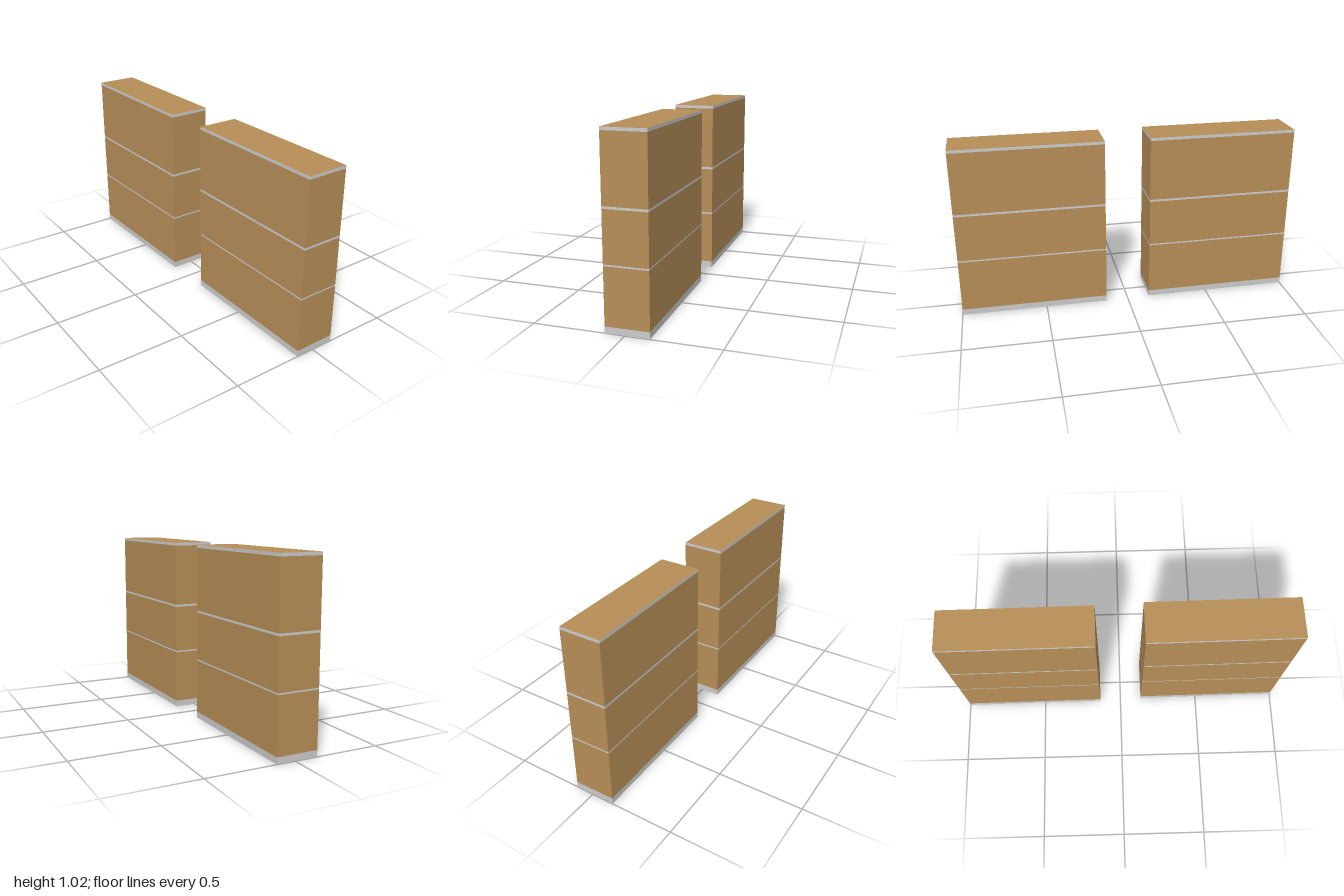
import * as THREE from 'three';
import { mergeGeometries } from 'three/addons/utils/BufferGeometryUtils.js';

const W = 0.238, L = 0.865, H = 1.02;
const wood = new THREE.MeshStandardMaterial({ color: 0xb68e57 });
const trim = new THREE.MeshStandardMaterial({ color: 0xcccccc });

// Four outward walls between two heights
function band(y0, y1) {
  const walls = [];
  for (let i = 0; i < 4; i++) {
    const [width, depth] = i % 2 ? [L, W] : [W, L];
    walls.push(new THREE.PlaneGeometry(width, y1 - y0)
      .translate(0, (y0 + y1) / 2, depth / 2)
      .rotateY(i * Math.PI / 2));
  }
  return mergeGeometries(walls);
}

function createBlock(name) {
  const block = new THREE.Group();
  block.name = name;
  const add = (geometry, material, part) => {
    const mesh = new THREE.Mesh(geometry, material);
    mesh.name = part;
    block.add(mesh);
  };

  // Alternating trim strips and wooden panels, from the floor up
  const levels = [0, 0.036, 0.346, 0.355, 0.63, 0.643, 1.003, H];
  for (let i = 0; i < levels.length - 1; i++) {
    const isTrim = i % 2 === 0;
    add(band(levels[i], levels[i + 1]), isTrim ? trim : wood, isTrim ? 'trimStrip' : 'woodPanel');
  }

  // Wooden top and underside
  add(new THREE.PlaneGeometry(W, L).rotateX(-Math.PI / 2).translate(0, H, 0), wood, 'topPanel');
  add(new THREE.PlaneGeometry(W, L).rotateX(Math.PI / 2), wood, 'bottomPanel');
  return block;
}

export function createModel() {
  const model = new THREE.Group();
  model.name = 'pairOfBlocks';
  // Two blocks in line, turned very slightly
  for (const [name, side] of [['frontBlock', 1], ['backBlock', -1]]) {
    const block = createBlock(name);
    block.position.set(side * 0.0095, 0, side * 0.5665);
    block.rotation.y = 0.008;
    model.add(block);
  }
  return model;
}
